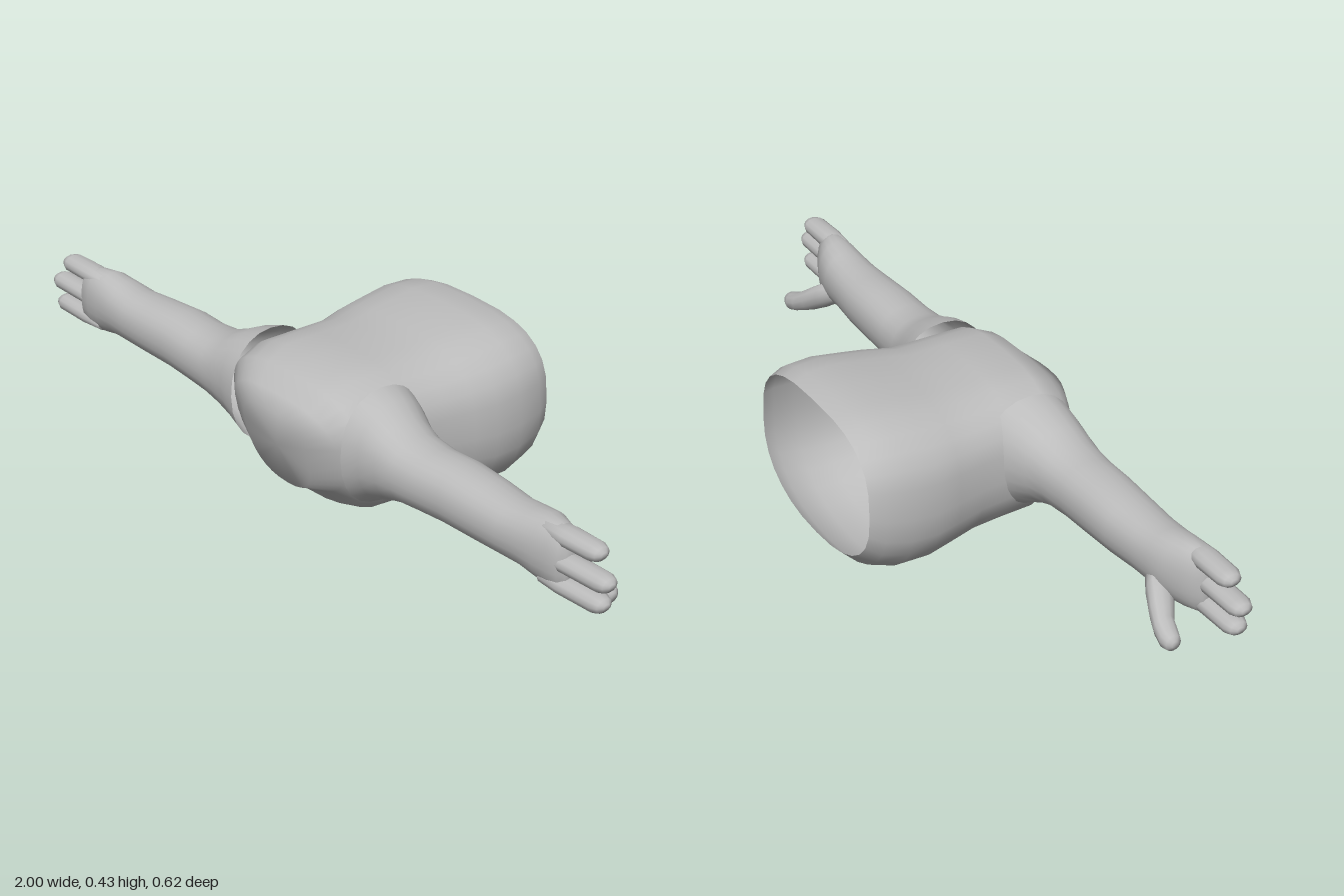
import * as THREE from 'three';

// Skin a list of equal-sized point rings; optional end caps, flip reverses winding
function loft(rings, { capStart = false, capEnd = false, flip = false } = {}) {
  const n = rings[0].length, pos = rings.flat(2), idx = [];
  const tri = (a, b, c) => (flip ? idx.push(a, c, b) : idx.push(a, b, c));
  for (let i = 0; i < rings.length - 1; i++) {
    for (let j = 0; j < n; j++) {
      const k = (j + 1) % n, a = i * n + j, b = i * n + k;
      tri(a, b, a + n);
      tri(b, b + n, a + n);
    }
  }
  const cap = (i, start) => {
    const c = pos.length / 3;
    for (let d = 0; d < 3; d++) pos.push(rings[i].reduce((s, p) => s + p[d], 0) / n);
    for (let j = 0; j < n; j++) {
      const a = i * n + j, b = i * n + (j + 1) % n;
      start ? tri(c, b, a) : tri(c, a, b);
    }
  };
  if (capStart) cap(0, true);
  if (capEnd) cap(rings.length - 1, false);
  const geo = new THREE.BufferGeometry();
  geo.setAttribute('position', new THREE.Float32BufferAttribute(pos, 3));
  geo.setIndex(idx);
  geo.computeVertexNormals();
  return geo;
}

const pw = (v, n) => Math.sign(v) * Math.abs(v) ** (2 / n);

// Torso ring: flatter above, rounder below, leaning forward where zTop > zBot
function torsoRing([zTop, yTop, zBot, yBot, half]) {
  return Array.from({ length: 28 }, (_, j) => {
    const t = (j / 28) * Math.PI * 2, n = Math.sin(t) > 0 ? 2.9 : 2.35;
    const h = pw(Math.sin(t), n);
    return [half * pw(Math.cos(t), n), (yTop + yBot) / 2 + h * (yTop - yBot) / 2,
      (zTop + zBot) / 2 + h * (zTop - zBot) / 2];
  });
}

// Limb ring: ellipse across x, given as [x, yMin, yMax, zMin, zMax]
function limbRing([x, y0, y1, z0, z1], side, n = 18) {
  return Array.from({ length: n }, (_, j) => {
    const t = (j / n) * Math.PI * 2;
    return [side * x, (y0 + y1) / 2 + pw(Math.cos(t), 2.2) * (y1 - y0) / 2,
      (z0 + z1) / 2 + pw(Math.sin(t), 2.2) * (z1 - z0) / 2];
  });
}

const TORSO = [
  [-0.31, 0.413, -0.31, 0.058, 0.262], [-0.275, 0.427, -0.275, 0.025, 0.278],
  [-0.21, 0.43, -0.21, 0.002, 0.286], [-0.14, 0.421, -0.14, 0.002, 0.283],
  [-0.08, 0.415, -0.08, 0.015, 0.272], [-0.01, 0.405, -0.01, 0.028, 0.255],
  [0.08, 0.409, 0.06, 0.033, 0.25], [0.185, 0.41, 0.14, 0.04, 0.25],
  [0.24, 0.385, 0.195, 0.07, 0.24], [0.28, 0.345, 0.22, 0.105, 0.19],
  [0.313, 0.32, 0.257, 0.11, 0.11],
];

const ARM = [
  [0.2, 0.11, 0.395, 0.02, 0.262], [0.25, 0.14, 0.38, 0.045, 0.255],
  [0.3, 0.163, 0.356, 0.068, 0.25], [0.35, 0.178, 0.337, 0.08, 0.247],
  [0.42, 0.184, 0.331, 0.086, 0.243], [0.5, 0.188, 0.334, 0.086, 0.24],
  [0.6, 0.189, 0.328, 0.092, 0.238], [0.68, 0.19, 0.324, 0.102, 0.235],
  [0.74, 0.188, 0.33, 0.106, 0.232], [0.79, 0.178, 0.338, 0.115, 0.23],
  [0.83, 0.176, 0.337, 0.133, 0.226], [0.86, 0.18, 0.332, 0.148, 0.222],
  [0.875, 0.2, 0.31, 0.165, 0.21],
];

// Fingers: height, tip x, z centre
const FINGERS = [[0.315, 0.965, 0.184], [0.258, 1.0, 0.192], [0.203, 0.986, 0.192]];

// Thumb rings: x, y, z, radius
const THUMB = [
  [0.73, 0.225, 0.14, 0.025], [0.77, 0.208, 0.127, 0.036], [0.81, 0.183, 0.108, 0.033],
  [0.845, 0.163, 0.092, 0.027], [0.875, 0.152, 0.086, 0.025],
  [0.893, 0.15, 0.085, 0.019], [0.9, 0.15, 0.085, 0.008],
];

export function createModel() {
  const model = new THREE.Group();
  const skin = new THREE.MeshStandardMaterial({ color: 0xbcbcbc, side: THREE.DoubleSide });
  skin.name = 'plain grey';
  const add = (parent, name, geo) => {
    const mesh = new THREE.Mesh(geo, skin);
    mesh.name = name;
    parent.add(mesh);
  };

  // Hollow torso, open at the waist and closed at the neck
  add(model, 'torso', loft(TORSO.map(torsoRing), { capEnd: true }));

  for (const side of [1, -1]) {
    const arm = new THREE.Group();
    arm.name = side > 0 ? 'leftArm' : 'rightArm';
    model.add(arm);
    const flip = side < 0;

    // Shoulder to palm
    add(arm, 'armAndPalm', loft(ARM.map((r) => limbRing(r, side, 24)), { capEnd: true, flip }));

    // Three rounded fingers
    FINGERS.forEach(([y, tip, z], i) => {
      const rings = [[0.8, 0.85], [0.86, 1], [tip - 0.025, 0.95], [tip - 0.008, 0.72], [tip, 0.3]]
        .map(([x, s]) => limbRing([x, y - 0.022 * s, y + 0.022 * s, z - 0.031 * s, z + 0.031 * s], side, 12));
      add(arm, `finger${i + 1}`, loft(rings, { capStart: true, capEnd: true, flip }));
    });

    // Thumb pointing down and back
    const thumb = THUMB.map(([x, y, z, r]) => limbRing([x, y - r, y + r, z - r, z + r], side, 12));
    add(arm, 'thumb', loft(thumb, { capStart: true, capEnd: true, flip }));
  }
  return model;
}
